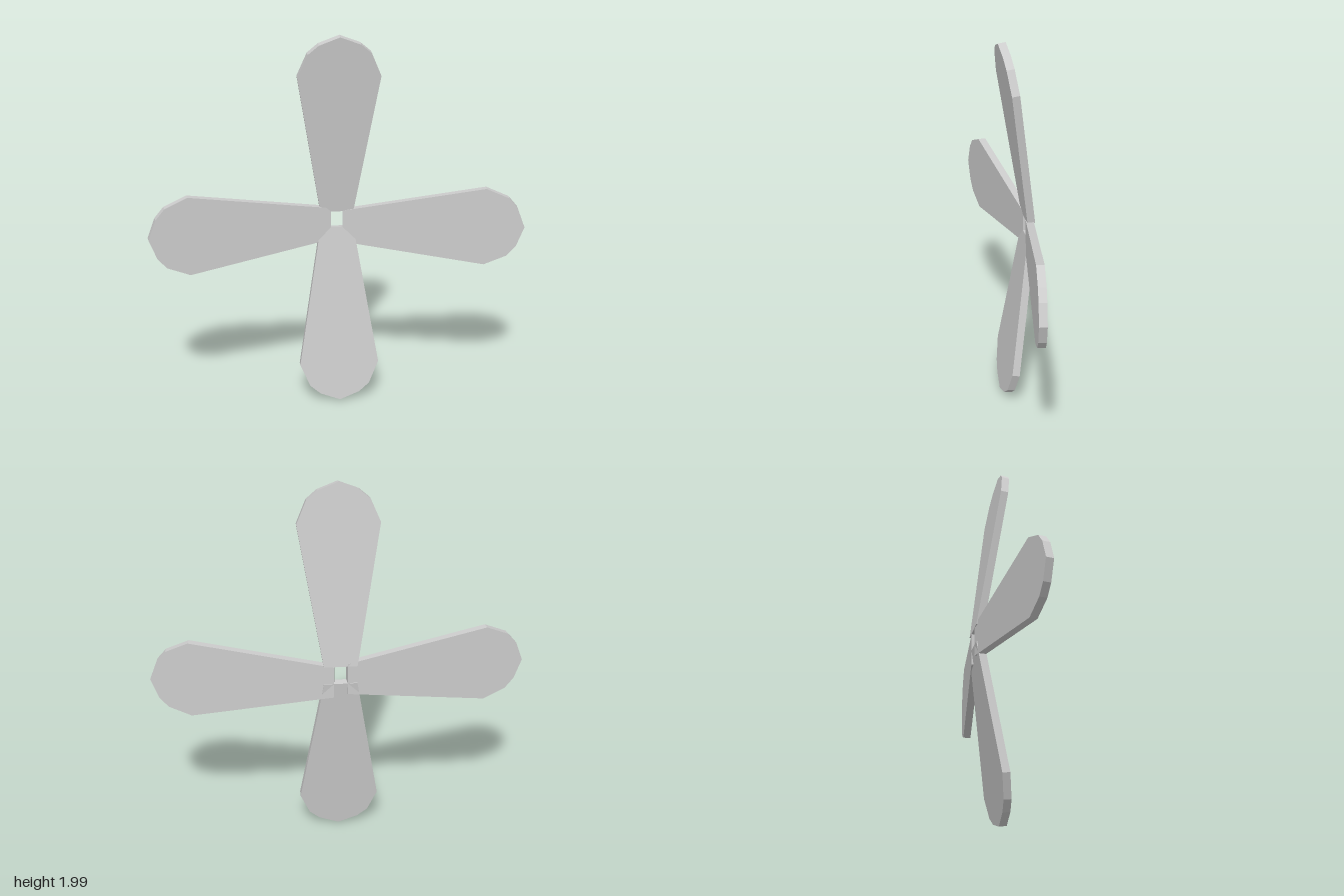
import * as THREE from 'three';

export function createModel() {
  const group = new THREE.Group();
  const material = new THREE.MeshStandardMaterial({ color: 0xcccccc, flatShading: true });

  // Half outline of a blade: [half width, distance from root], root to tip
  const half = [[0.087, 0], [0.211, 0.75], [0.16, 0.87], [0.105, 0.917]];
  const outline = [
    ...half,
    [0, 0.957],
    ...half.map(([x, y]) => [-x, y]).reverse(),
  ].map(([x, y]) => new THREE.Vector2(x, y));

  // Flat paddle, tilted forward from its root
  const blade = new THREE.ExtrudeGeometry(new THREE.Shape(outline), {
    depth: 0.04,
    bevelEnabled: false,
  });
  blade.rotateX(THREE.MathUtils.degToRad(8.1));

  // Four blades around a small open centre: [name, root x, root y, quarter turns]
  const blades = [
    ['topBlade', 0, 1.053, 0],
    ['leftBlade', 0.035, 0.963, -1],
    ['bottomBlade', 0, 0.955, 2],
    ['rightBlade', -0.037, 0.98, 1],
  ];
  for (const [name, x, y, turns] of blades) {
    const mesh = new THREE.Mesh(blade, material);
    mesh.name = name;
    mesh.position.set(x, y, -0.087);
    mesh.rotation.z = turns * Math.PI / 2;
    group.add(mesh);
  }
  return group;
}
